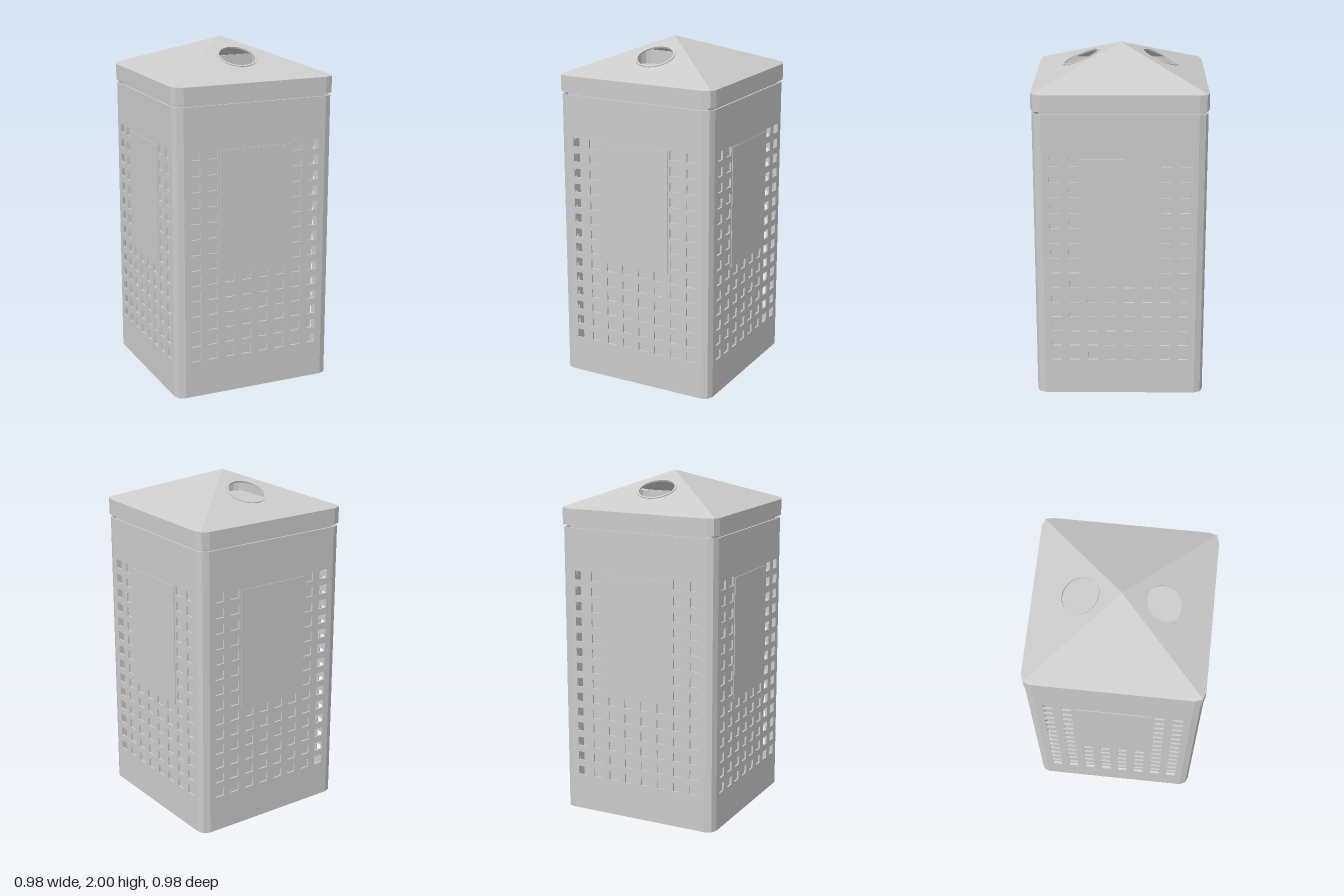
import * as THREE from 'three';

const W = 0.487;      // half width of the shell
const LID = 0.492;    // half width of the lid
const T = 0.01;       // sheet thickness
const FLAT = 0.436;   // where the corner bevel starts

const grey = new THREE.MeshStandardMaterial({ color: 0xcccccc, flatShading: true, side: THREE.DoubleSide });

function part(name, geometry, parent) {
  const mesh = new THREE.Mesh(geometry, grey);
  mesh.name = name;
  parent.add(mesh);
  return mesh;
}

function box(name, w, h, d, x, y, z, parent) {
  const mesh = part(name, new THREE.BoxGeometry(w, h, d), parent);
  mesh.position.set(x, y, z);
  return mesh;
}

const extrude = (shape, depth) =>
  new THREE.ExtrudeGeometry(shape, { depth, bevelEnabled: false, curveSegments: 16 });

const polygon = (pts) => new THREE.Shape(pts.map(([x, y]) => new THREE.Vector2(x, y)));

// Square outline with two-step bevelled corners
function outline(h) {
  const m = h - 0.015;
  const pts = [];
  for (let i = 0; i < 4; i++) {
    for (const [x, y] of [[h, FLAT], [m, m], [FLAT, h]]) {
      const c = Math.round(Math.cos(i * Math.PI / 2)), s = Math.round(Math.sin(i * Math.PI / 2));
      pts.push([x * c - y * s, x * s + y * c]);
    }
  }
  return polygon(pts);
}

// Flat wall with rows of square holes, leaving a blank field for the panel
function wallGeometry() {
  const wall = polygon([[-FLAT, 0], [FLAT, 0], [FLAT, 1.695], [-FLAT, 1.695]]);
  const a = 0.028, b = 0.026;
  for (let row = 0; row < 14; row++) {
    const y = 0.24 + row * 0.091;
    for (let col = 0; col < 8; col++) {
      if (row > 5 && col > 1 && col < 6) continue;
      const x = (col - 3.5) * 0.105;
      wall.holes.push(polygon([[x - a, y - b], [x - a, y + b], [x + a, y + b], [x + a, y - b]]));
    }
  }
  return extrude(wall, T);
}

// Bevelled strip joining two walls
function cornerGeometry() {
  const m = W - 0.015, i = W - T;
  const strip = polygon([[W, FLAT], [m, m], [FLAT, W], [FLAT, i], [m - 0.008, m - 0.008], [i, FLAT]]);
  return extrude(strip, 1.695).rotateX(-Math.PI / 2);
}

export function createModel() {
  const bin = new THREE.Group();
  bin.name = 'litterBin';

  // Perforated shell: the same side four times
  const wallGeo = wallGeometry();
  const cornerGeo = cornerGeometry();
  for (let i = 0; i < 4; i++) {
    const side = new THREE.Group();
    side.name = 'shellSide' + (i + 1);
    side.rotation.y = i * Math.PI / 2;
    part('perforatedWall', wallGeo, side).position.z = W - T;
    part('cornerStrip', cornerGeo, side);
    box('noticePanel', 0.44, 0.71, 0.004, 0, 1.085, W + 0.002, side);
    bin.add(side);
  }

  // Inner container and the neck under the lid
  box('liner', 0.814, 1.68, 0.814, 0, 0.841, 0, bin);
  box('neck', 0.9, 0.04, 0.9, 0, 1.695, 0, bin);

  // Lid skirt
  const lid = new THREE.Group();
  lid.name = 'lid';
  bin.add(lid);
  const skirt = outline(LID);
  skirt.holes.push(outline(LID - T));
  const skirtMesh = part('lidSkirt', extrude(skirt, 0.095).rotateX(-Math.PI / 2), lid);
  skirtMesh.position.y = 1.71;
  const floor = part('lidFloor', extrude(outline(LID - 0.005), 0.008).rotateX(-Math.PI / 2), lid);
  floor.position.y = 1.71;

  // Pyramid roof, with round rimmed openings at front and back
  const slope = Math.atan2(0.195, LID);
  const f = 1 / Math.cos(slope);
  const m = LID - 0.015;
  const centre = -0.228 * f;
  for (let i = 0; i < 4; i++) {
    const turn = new THREE.Group();
    turn.name = 'roofSide' + (i + 1);
    turn.rotation.y = i * Math.PI / 2;
    lid.add(turn);
    const plane = new THREE.Group();
    plane.name = 'roofSlope';
    plane.position.y = 2;
    plane.rotation.x = slope - Math.PI / 2;
    turn.add(plane);

    const face = polygon([[0, 0], [-m, -m * f], [-FLAT, -LID * f], [FLAT, -LID * f], [m, -m * f]]);
    if (i % 2 === 0) {
      face.holes.push(new THREE.Path().absarc(0, centre, 0.104, 0, Math.PI * 2, true));
      const ring = new THREE.Shape().absarc(0, centre, 0.115, 0, Math.PI * 2, false);
      ring.holes.push(new THREE.Path().absarc(0, centre, 0.103, 0, Math.PI * 2, true));
      part('openingRim', extrude(ring, 0.01), plane).position.z = -0.005;
    }
    part('roofFace', new THREE.ShapeGeometry(face, 16), plane);
  }
  return bin;
}
